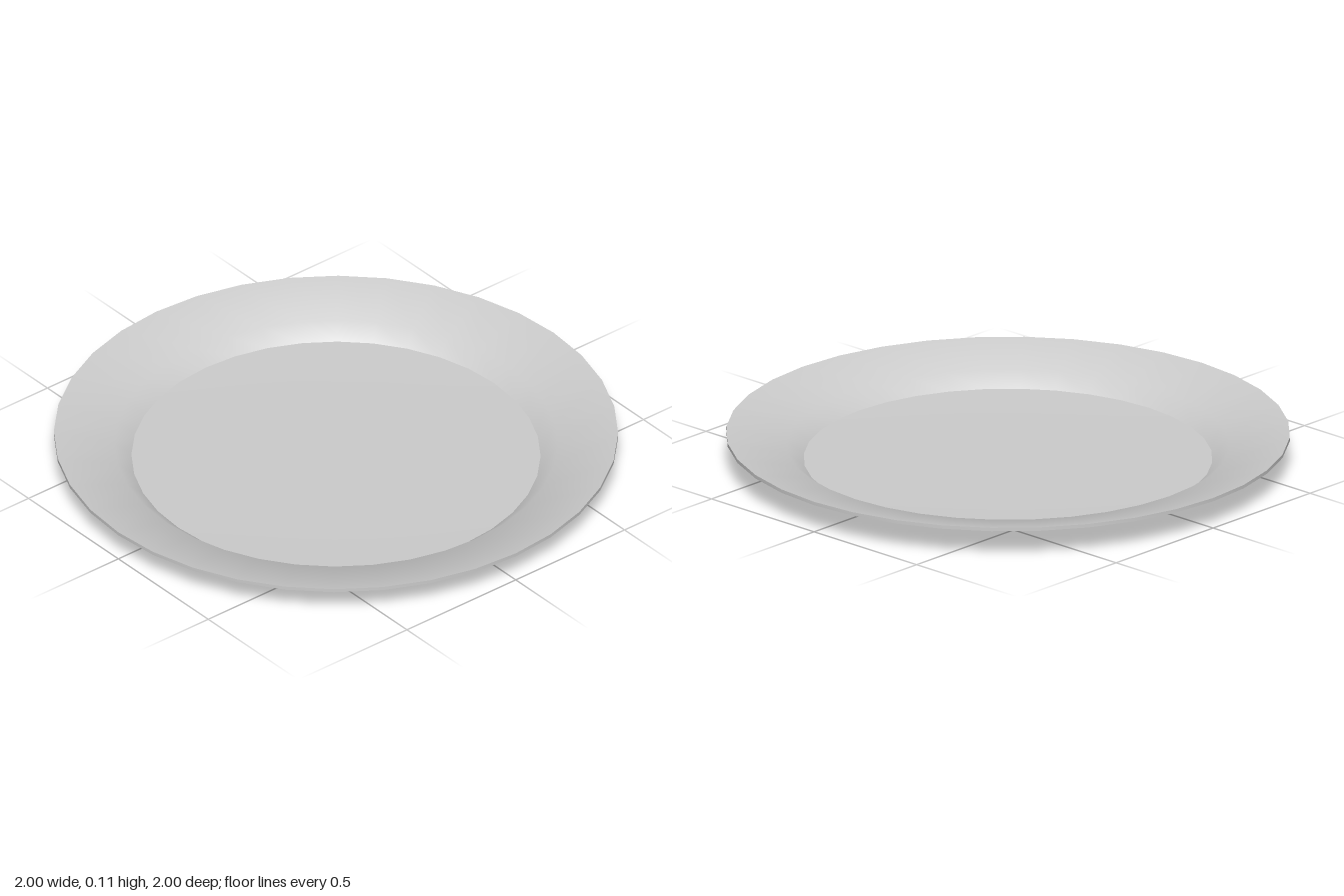
import * as THREE from 'three';
import { toCreasedNormals } from 'three/addons/utils/BufferGeometryUtils.js';

const SEGMENTS = 36;

export function createModel() {
  const group = new THREE.Group();
  group.name = 'plate';
  const material = new THREE.MeshStandardMaterial({ color: 0xcccccc });

  // Closed half-section: underside outwards, over the lip, back along the top
  const profile = [
    [0, 0], [0.5, 0], [0.73, 0.004],       // base
    [0.78, 0.053],                         // outer wall
    [1, 0.1], [1, 0.113],                  // rim underside and lip
    [0.785, 0.066], [0.725, 0.016],        // rim top and inner wall
    [0.5, 0.012], [0, 0.012],              // well floor
  ].map(([r, y]) => new THREE.Vector2(r, y));

  // Smooth around the plate, crisp where the wall meets rim and floor
  const geometry = toCreasedNormals(new THREE.LatheGeometry(profile, SEGMENTS), 0.5);
  const dish = new THREE.Mesh(geometry, material);
  dish.name = 'dish';
  group.add(dish);

  return group;
}
